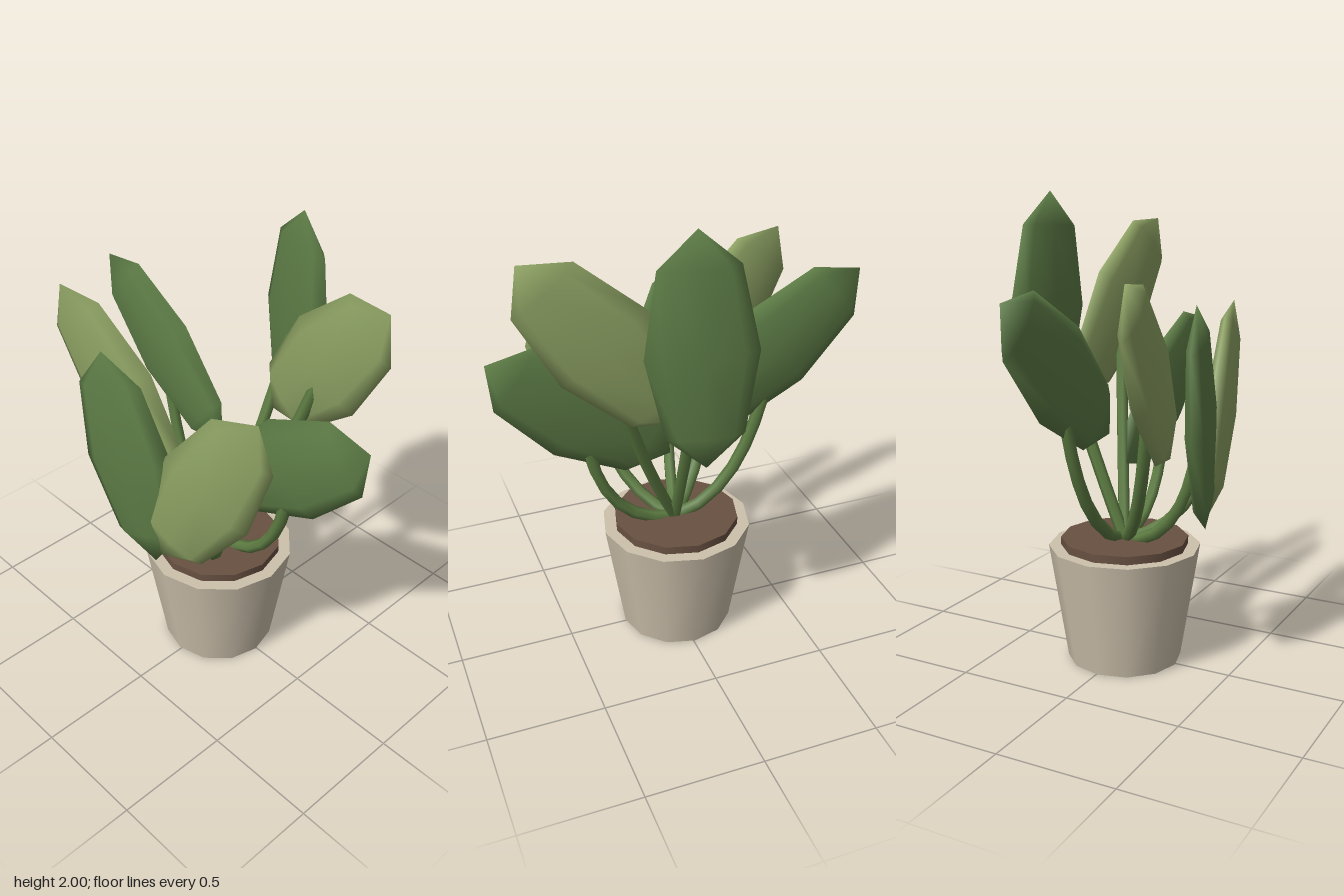
import * as THREE from 'three';

const mat = (color) => new THREE.MeshStandardMaterial({ color });

// Each leaf: base point, tip point, and the slope dz/dx of its upright plane.
// bend sets how far the stem runs outward before it turns up.
const LEAVES = [
  { name: 'backLeaf', base: [0.02, 1.02, -0.405], tip: [0.06, 2.0, -0.39], slope: 0.23, bend: 0.5, light: false },
  { name: 'backLeftLeaf', base: [0.06, 1.15, -0.245], tip: [0.67, 1.87, -0.18], slope: 0.12, bend: 0.55, light: true },
  { name: 'leftLeaf', base: [0.02, 0.86, 0], tip: [0.78, 1.41, 0], slope: 0, bend: 0.95, light: false },
  { name: 'rightLeaf', base: [-0.04, 1.0, -0.05], tip: [-0.785, 1.62, -0.08], slope: 0.04, bend: 0.8, light: false },
  { name: 'frontRightLeaf', base: [-0.03, 0.92, 0.23], tip: [-0.6, 1.69, 0.32], slope: -0.16, bend: 0.75, light: true },
  { name: 'frontLeaf', base: [0.0, 0.63, 0.38], tip: [-0.22, 1.585, 0.425], slope: -0.25, bend: 0.85, light: false },
  { name: 'frontLeftLeaf', base: [0.04, 0.69, 0.38], tip: [0.49, 1.53, 0.285], slope: -0.21, bend: 0.85, light: true },
];

export function createModel() {
  const plant = new THREE.Group();
  plant.name = 'pottedPlant';
  const potMat = mat(0xcdc1ac);
  const soilMat = mat(0x695142);
  const darkLeaf = mat(0x5d7c46);
  const lightLeaf = mat(0x8da163);
  const stemMat = mat(0x5d7c42);

  const add = (name, geometry, material, parent = plant) => {
    const mesh = new THREE.Mesh(geometry, material);
    mesh.name = name;
    parent.add(mesh);
    return mesh;
  };

  // Tapered pot with a soil disc standing just above its rim
  add('pot', new THREE.CylinderGeometry(0.328, 0.247, 0.51, 12), potMat).position.set(-0.007, 0.255, 0.005);
  add('soil', new THREE.CylinderGeometry(0.275, 0.275, 0.04, 12), soilMat).position.set(-0.007, 0.525, 0.005);

  // Leaves are flattened low-sided spheres; stems reach their middles
  const leafGeometry = new THREE.SphereGeometry(1, 8, 4);
  for (const leaf of LEAVES) {
    const group = new THREE.Group();
    group.name = leaf.name;
    plant.add(group);

    const base = new THREE.Vector3(...leaf.base);
    const tip = new THREE.Vector3(...leaf.tip);
    const centre = base.clone().lerp(tip, 0.5);
    const along = tip.clone().sub(base);
    const halfLength = along.length() / 2;
    along.normalize();
    const normal = new THREE.Vector3(-leaf.slope, 0, 1);
    const across = along.clone().cross(normal).normalize();
    normal.crossVectors(across, along);

    const blade = add('blade', leafGeometry, leaf.light ? lightLeaf : darkLeaf, group);
    blade.quaternion.setFromRotationMatrix(new THREE.Matrix4().makeBasis(across, along, normal));
    blade.position.copy(centre);
    blade.scale.set(0.22, halfLength, 0.052);

    const root = new THREE.Vector3(0, 0.53, 0);
    const control = new THREE.Vector3(
      centre.x * leaf.bend,
      THREE.MathUtils.lerp(centre.y, 0.56, Math.min(1, leaf.bend * 1.15)),
      centre.z * leaf.bend
    );
    const path = new THREE.QuadraticBezierCurve3(root, control, centre);
    add('stem', new THREE.TubeGeometry(path, 8, 0.027, 6, false), stemMat, group);
  }
  return plant;
}
